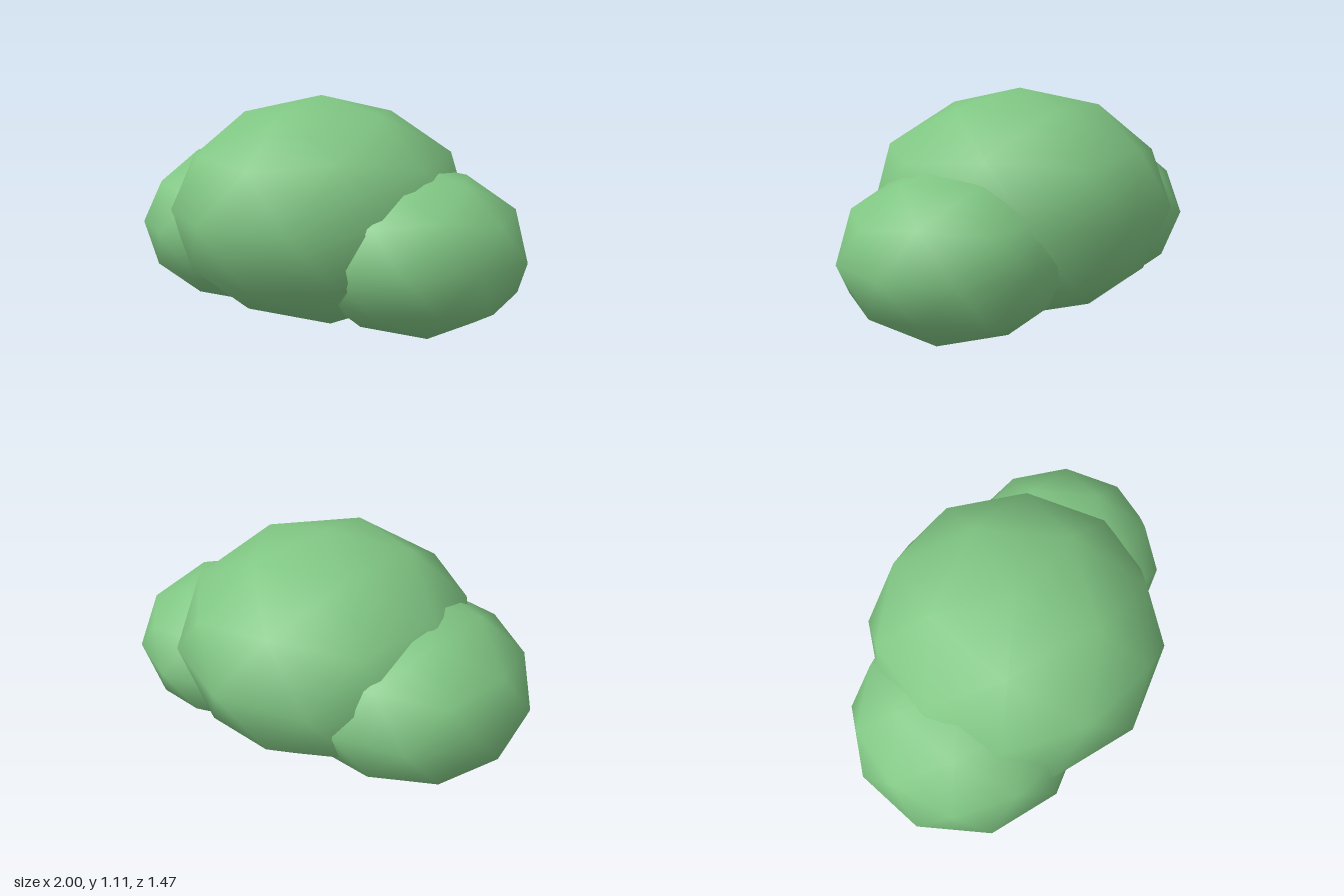
import * as THREE from 'three';

// Coarse icosphere with a vertex at each pole, smooth shaded and flattened
function lobeGeometry(radius, height) {
  const geometry = new THREE.IcosahedronGeometry(1, 1);
  geometry.rotateZ(-Math.atan(2 / (1 + Math.sqrt(5))));
  geometry.scale(radius, height, radius);
  return geometry;
}

export function createModel() {
  const bush = new THREE.Group();
  bush.name = 'bush';
  const leafGreen = new THREE.MeshStandardMaterial({ color: 0x81c784 });
  leafGreen.name = 'leaf green';

  // Three overlapping clumps of foliage: one large, two smaller at the sides
  const lobes = [
    { name: 'mainFoliage', radius: 0.737, height: 0.553, at: [0, 0.554, 0] },
    { name: 'rightFoliage', radius: 0.574, height: 0.43, at: [-0.454, 0.443, 0.078] },
    { name: 'leftFoliage', radius: 0.526, height: 0.394, at: [0.498, 0.406, -0.13] },
  ];
  for (const { name, radius, height, at } of lobes) {
    const mesh = new THREE.Mesh(lobeGeometry(radius, height), leafGreen);
    mesh.name = name;
    mesh.position.set(...at);
    bush.add(mesh);
  }
  return bush;
}
